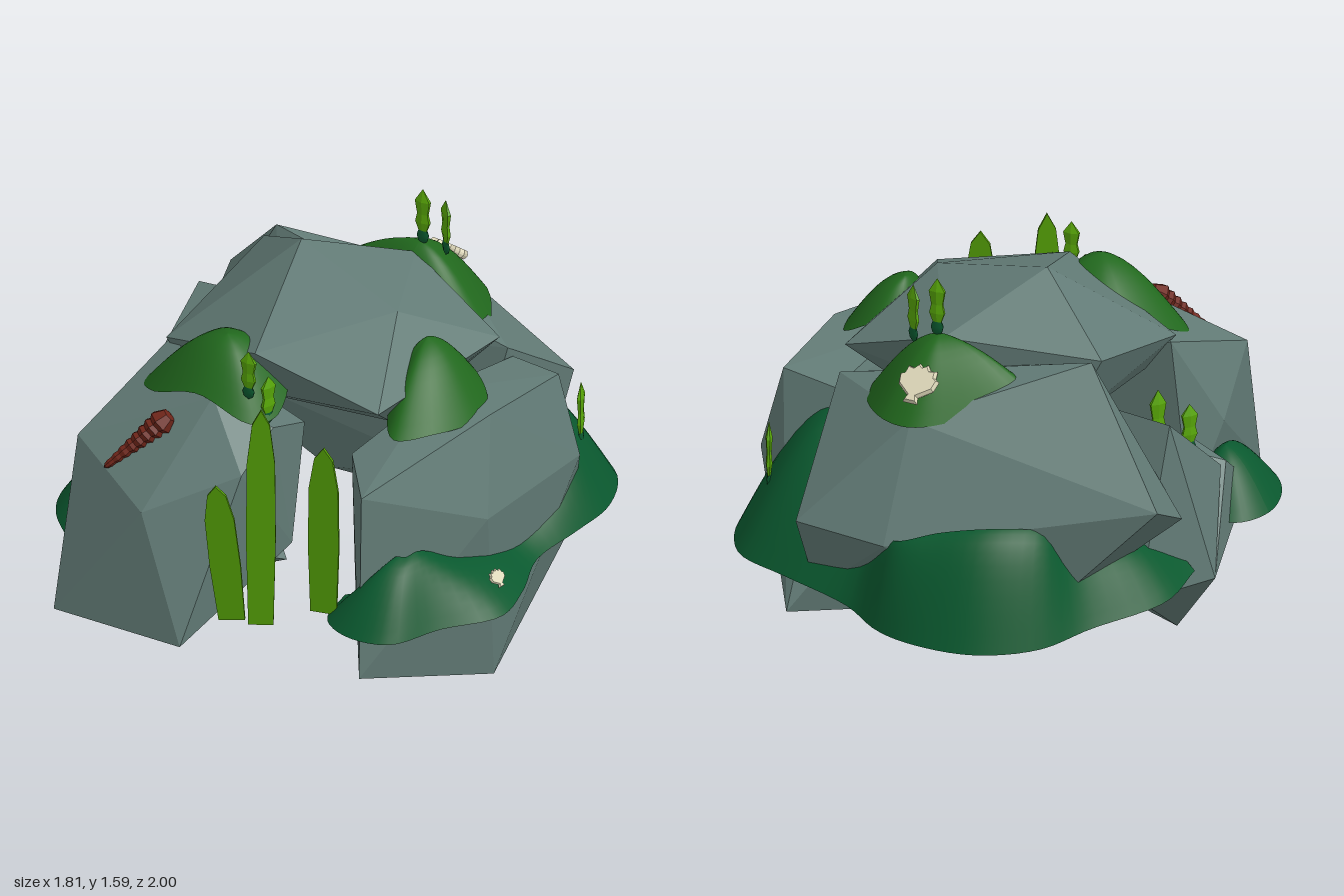
import * as THREE from 'three';
import { ConvexGeometry } from 'three/addons/geometries/ConvexGeometry.js';

const mat = (name, color, opts = {}) => {
  const m = new THREE.MeshStandardMaterial({ color, ...opts });
  m.name = name;
  return m;
};
const both = { side: THREE.DoubleSide };

export function createModel() {
  const group = new THREE.Group();
  const stone = mat('slate stone', 0x637c77, { flatShading: true });
  const deepMoss = mat('deep green moss', 0x0a592f, both);
  const moss = mat('leaf green moss', 0x21681d, both);
  const kelp = mat('kelp green', 0x529c06, { flatShading: true });
  const bud = mat('bud green', 0x58a708, { flatShading: true });
  const rust = mat('rust red', 0x6e2519, { flatShading: true });
  const cream = mat('cream shell', 0xdcd6b8, { flatShading: true });

  const add = (name, geometry, material, parent = group) => {
    const mesh = new THREE.Mesh(geometry, material);
    mesh.name = name;
    parent.add(mesh);
    return mesh;
  };
  const vec = (p) => new THREE.Vector3(...p);

  // Boulders: faceted hulls around a few corner points
  const boulder = (name, corners) => add(name, new ConvexGeometry(corners.map(vec)), stone);

  boulder('frontBoulder', [
    [-0.55, 0.33, 1.0], [-0.01, 0.36, 0.97], [-0.32, 0.1, 0.62], [-0.22, 0.82, 0.92],
    [-0.15, 1.17, 0.59], [0.05, 1.07, 0.5], [0.06, 0.97, 0.7], [-0.61, 0.93, 0.78],
    [-0.55, 1.13, 0.3], [-0.66, 0.75, 0.5], [0.0, 0.95, 0.25], [0.02, 0.5, 0.35], [-0.6, 0.45, 0.35],
  ]);
  boulder('sideBoulder', [
    [0.37, 0, -0.02], [0.64, 0, -0.02], [0.51, 0.24, 0.6], [0.5, 0.24, -0.65],
    [0.34, 0.5, 0.4], [0.31, 1.0, 0.38], [0.52, 1.0, 0.6], [0.64, 1.1, 0.0], [0.38, 1.1, 0.0],
    [0.64, 1.07, -0.4], [0.42, 1.05, -0.42], [0.72, 0.75, 0.12], [0.72, 0.75, -0.42], [0.34, 0.5, -0.4],
  ]);
  boulder('backBoulder', [
    [-0.91, 0.9, -0.51], [0.0, 0.72, -0.87], [0.35, 0.74, -0.87], [0.42, 1.1, -0.39],
    [0.0, 1.13, -0.66], [0.02, 1.2, -0.38], [-0.53, 1.31, -0.28], [-0.83, 0.7, -0.16], [-0.46, 0.95, -0.2],
    [0.12, 0.25, -0.55], [-0.1, 0.28, -0.5], [-0.5, 0.45, -0.62], [0.33, 0.42, -0.75], [0.32, 0.55, -0.3],
    [-0.3, 0.38, -0.28],
  ]);
  boulder('topBoulder', [
    [-0.22, 1.5, -0.02], [0.24, 1.39, 0.02], [-0.54, 1.29, -0.22], [-0.55, 1.14, 0.34],
    [-0.07, 1.31, 0.45], [0.42, 1.2, 0.37], [0.43, 1.18, -0.33], [0.0, 1.34, -0.4],
    [0.3, 1.02, 0.15], [0.3, 1.02, -0.2], [-0.45, 1.0, 0.32], [-0.4, 1.0, -0.25],
  ]);
  boulder('leftBoulder', [
    [-0.88, 0.4, 0.0], [-0.61, 0.04, 0.23], [-0.45, 0.25, 0.25], [-0.77, 1.05, -0.14],
    [-0.52, 1.08, -0.16], [-0.54, 0.78, 0.18], [-0.78, 0.72, 0.24], [-0.72, 0.4, -0.28], [-0.45, 0.4, -0.2],
  ]);
  boulder('shelfBoulder', [
    [-0.88, 0.4, 0.0], [-0.61, 0.04, 0.23], [-0.45, 0.25, 0.35], [-0.78, 0.72, 0.28], [-0.54, 0.8, 0.15],
    [-0.55, 0.74, 0.38], [-0.68, 0.45, 0.65], [-0.5, 0.5, 0.7], [-0.08, 0.34, 0.25], [-0.3, 0.75, 0.2],
  ]);

  // Moss: smooth open shell falling from a top point or ridge to a rounded rim
  const shell = (name, material, tops, rim, closed = true) => {
    const N = closed ? 40 : 90, R = 9;
    const trace = (pts) => (pts.length === 1 ? Array(N + 1).fill(vec(pts[0]))
      : new THREE.CatmullRomCurve3(pts.map(vec), closed).getPoints(N));
    const ridge = trace(tops), edge = trace(rim);
    const pos = [], index = [];
    for (let r = 0; r <= R; r++) {
      const t = r / R;
      const fall = 0.12 * (1 - t) + 0.88 * Math.cos(t * Math.PI / 2);
      for (let i = 0; i <= N; i++) {
        const p = ridge[i].clone().lerp(edge[i], t);
        pos.push(p.x, edge[i].y + (ridge[i].y - edge[i].y) * fall, p.z);
        if (r < R && i < N) {
          const a = r * (N + 1) + i, b = a + N + 1;
          index.push(a, b, a + 1, b, b + 1, a + 1);
        }
      }
    }
    const g = new THREE.BufferGeometry();
    g.setAttribute('position', new THREE.Float32BufferAttribute(pos, 3));
    g.setIndex(index);
    g.computeVertexNormals();
    add(name, g, material);
  };

  // Moss skirt from the front right around the back; each row is a rim point and its ridge point
  const skirt = [
    [[0.37, 0.49, 0.5], [0.52, 0.53, 0.45]], [[0.42, 0.49, 0.67], [0.56, 0.66, 0.5]],
    [[0.55, 0.49, 0.72], [0.58, 0.72, 0.48]], [[0.7, 0.49, 0.67], [0.61, 0.72, 0.46]],
    [[0.78, 0.49, 0.48], [0.62, 0.72, 0.4]], [[0.9, 0.49, 0.28], [0.64, 0.64, 0.25]],
    [[0.86, 0.49, 0.1], [0.64, 0.59, 0.1]], [[0.76, 0.48, -0.12], [0.64, 0.54, -0.1]],
    [[0.76, 0.48, -0.35], [0.6, 0.66, -0.34]], [[0.75, 0.48, -0.55], [0.4, 1.0, -0.4]],
    [[0.64, 0.48, -0.74], [0.36, 0.99, -0.42]], [[0.42, 0.48, -0.82], [0.28, 0.78, -0.6]],
    [[0.15, 0.45, -0.87], [0.1, 0.7, -0.7]], [[-0.02, 0.43, -0.96], [-0.05, 0.75, -0.86]],
    [[-0.2, 0.43, -1], [-0.2, 0.8, -0.82]], [[-0.42, 0.43, -0.97], [-0.38, 0.83, -0.76]],
    [[-0.6, 0.43, -0.83], [-0.52, 0.8, -0.64]], [[-0.7, 0.44, -0.62], [-0.55, 0.7, -0.5]],
    [[-0.86, 0.46, -0.35], [-0.66, 0.64, -0.3]], [[-0.85, 0.47, -0.1], [-0.65, 0.6, -0.1]],
  ];
  shell('skirtMoss', deepMoss, skirt.map((s) => s[1]), skirt.map((s) => s[0]), false);
  shell('leftSkirtMoss', deepMoss, [[-0.68, 0.67, 0.47]], [[-0.88, 0.47, 0.42], [-0.85, 0.47, 0.58],
    [-0.76, 0.47, 0.7], [-0.62, 0.47, 0.77], [-0.55, 0.47, 0.5], [-0.66, 0.47, 0.28], [-0.82, 0.47, 0.3]]);

  // Lighter moss caps on the upper boulders
  shell('frontCapMoss', moss, [[-0.2, 1.34, 0.44]], [[-0.52, 1.06, 0.5], [-0.42, 1.09, 0.59], [-0.2, 1.17, 0.61],
    [0.0, 1.1, 0.57], [0.04, 1.1, 0.46], [-0.06, 1.2, 0.28], [-0.35, 1.2, 0.27]]);
  shell('sideCapMoss', moss, [[0.36, 1.32, 0]], [[0.31, 1.25, 0.05], [0.35, 1.12, 0.22], [0.45, 1.08, 0.32],
    [0.55, 1.09, 0.22], [0.6, 1.08, 0.05], [0.55, 1.1, -0.1], [0.42, 1.18, -0.14], [0.33, 1.22, -0.08]]);
  shell('backCapMoss', moss, [[0.0, 1.37, -0.43]], [[0, 1.28, -0.34], [0.2, 1.17, -0.37], [0.27, 1.1, -0.46],
    [0.13, 1.11, -0.65], [0, 1.11, -0.68], [-0.14, 1.13, -0.6], [-0.33, 1.21, -0.4], [-0.15, 1.27, -0.35]]);

  // Tall kelp blades: thin pointed plates
  const outline = [[-0.85, 0], [0.85, 0], [1, 0.4], [0.95, 0.75], [0.6, 0.93], [0, 1],
    [-0.6, 0.93], [-0.95, 0.75], [-1, 0.4]].map(([x, y]) => new THREE.Vector2(x, y));
  const bladeShape = new THREE.ExtrudeGeometry(new THREE.Shape(outline), { depth: 1, bevelEnabled: false });
  bladeShape.translate(0, 0, -0.5);
  [[0.14, 0.48, 0.86, 0.57, 0.056, 0.5, 0.08, 0.04], [0.155, 0.39, 0.71, 0.9, 0.053, 0.6, 0, 0],
    [0.39, 0.5, 0.65, 0.69, 0.057, 0.35, 0, 0]].forEach(([x, y, z, h, w, turn, lean, tilt]) => {
    const blade = add('kelpBlade', bladeShape, kelp);
    blade.position.set(x, y, z);
    blade.rotation.set(tilt, turn, lean);
    blade.scale.set(w, h, 0.012);
  });

  // Small sprouts: dark bulb below, notched bud above
  const lathe = (pts, sides) => new THREE.LatheGeometry(pts.map(([r, y]) => new THREE.Vector2(r, y)), sides);
  const bulbShape = lathe([[0, 0], [0.6, 0.06], [0.8, 0.16], [0.55, 0.26]], 6);
  const budShape = lathe([[0.55, 0.24], [1, 0.4], [0.75, 0.55], [1.05, 0.78], [0, 1]], 6);
  [[0.01, 1.36, -0.43, 0.23, 0.1], [0.09, 1.33, -0.46, 0.23, -0.5], [-0.03, 1.18, 0.54, 0.2, 0.1],
    [0.02, 1.07, 0.49, 0.2, 1.35], [-0.66, 0.74, 0.23, 0.2, 0.9], [-0.58, 0.77, 0.14, 0.25, 0.9],
    [0.61, 0.66, -0.57, 0.28, -1.2]].forEach(([x, y, z, h, turn]) => {
    const sprout = new THREE.Group();
    sprout.name = 'sprout';
    add('sproutBulb', bulbShape, deepMoss, sprout);
    add('sproutBud', budShape, bud, sprout);
    sprout.position.set(x, y, z);
    sprout.rotation.y = turn;
    sprout.scale.set(0.033, h, 0.012);
    group.add(sprout);
  });

  // Ridged spiral shell lying on the front boulder
  const ridges = [[0, 0]];
  for (let i = 0; i < 8; i++) {
    const r = 0.011 + i * 0.0034;
    ridges.push([r, 0.012 + i * 0.034], [r * 1.4, 0.03 + i * 0.034]);
  }
  ridges.push([0.028, 0.31], [0, 0.315]);
  const spiral = add('spiralShell', lathe(ridges, 7), rust);
  const tip = new THREE.Vector3(-0.44, 0.89, 0.85);
  spiral.position.copy(tip);
  spiral.quaternion.setFromUnitVectors(new THREE.Vector3(0, 1, 0),
    new THREE.Vector3(-0.275, 1.09, 0.69).sub(tip).normalize());

  // Fan shells: scalloped plates with a small hinge
  const fan = new THREE.Shape([[-0.35, -0.95], [0.35, -0.95], [0.25, -0.65], [0.85, -0.2], [0.95, 0.3], [0.75, 0.4],
    [0.7, 0.75], [0.4, 0.7], [0.2, 0.95], [0, 0.8], [-0.2, 0.95], [-0.4, 0.7], [-0.7, 0.75], [-0.75, 0.4],
    [-0.95, 0.3], [-0.85, -0.2], [-0.25, -0.65]].map(([x, y]) => new THREE.Vector2(x, y)));
  const fanShape = new THREE.ExtrudeGeometry(fan, {
    depth: 0.1, bevelThickness: 0.15, bevelSize: 0.08, bevelOffset: -0.08, bevelSegments: 1 });
  [[[0, 1.245, -0.6], [0, 0.72, -0.6], 0.08], [[0.815, 0.575, 0.19], [0.75, 0.65, 0.1], 0.036]]
    .forEach(([at, normal, size]) => {
      const plate = add('fanShell', fanShape, cream);
      plate.position.set(...at);
      plate.lookAt(vec(at).add(vec(normal)));
      plate.scale.setScalar(size);
    });

  return group;
}
